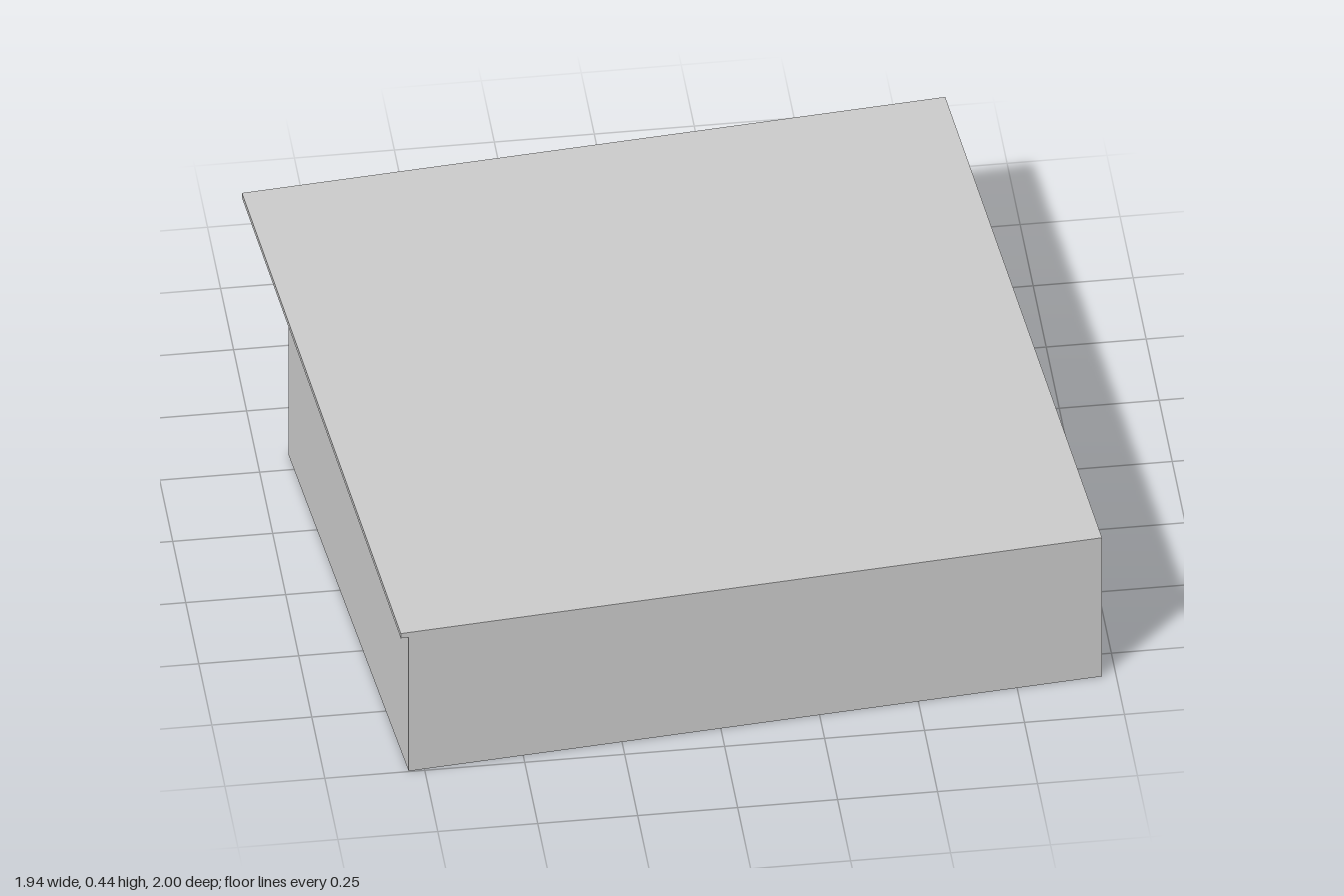
import * as THREE from 'three';

const ROOF_TOP = 0.435, ROOF_BOTTOM = 0.42;

// Plan corners as [x, z]
const ROOF = [[-0.97, -0.82], [0.81, -0.98], [0.965, 0.84], [-0.81, 1.0]];
const WALLS = [
  [0.965, 0.84], [0.805, -0.95],                    // right side
  [-0.59, -0.83], [-0.555, -0.345], [-0.92, -0.31], // back, with recessed corner
  [-0.79, 0.998],                                   // front
];

// Flat slab from a plan outline
function slab(plan, bottom, top) {
  const shape = new THREE.Shape(plan.map(([x, z]) => new THREE.Vector2(x, -z)));
  const geo = new THREE.ExtrudeGeometry(shape, { depth: top - bottom, bevelEnabled: false });
  return geo.rotateX(-Math.PI / 2).translate(0, bottom, 0);
}

// Thin vertical wall between two plan points
function wallPanel([x0, z0], [x1, z1], height) {
  const geo = new THREE.PlaneGeometry(Math.hypot(x1 - x0, z1 - z0), height);
  geo.rotateY(Math.atan2(-(z1 - z0), x1 - x0));
  return geo.translate((x0 + x1) / 2, height / 2, (z0 + z1) / 2);
}

export function createModel() {
  const model = new THREE.Group();
  model.name = 'flatRoofBuilding';
  const solid = new THREE.MeshStandardMaterial({ color: 0xcccccc });
  const thin = new THREE.MeshStandardMaterial({ color: 0xcccccc, side: THREE.DoubleSide });
  const add = (parent, name, geo, mat) => {
    const mesh = new THREE.Mesh(geo, mat);
    mesh.name = name;
    parent.add(mesh);
  };

  // Overhanging flat roof
  add(model, 'roof', slab(ROOF, ROOF_BOTTOM, ROOF_TOP), solid);

  // Walls, open underneath
  const walls = new THREE.Group();
  walls.name = 'walls';
  WALLS.forEach((p, i) => {
    // Each panel runs from the next corner back, so it faces outward
    const q = WALLS[(i + 1) % WALLS.length];
    add(walls, `wall${i + 1}`, wallPanel(p, q, ROOF_BOTTOM), thin);
  });
  model.add(walls);

  // Small round fixture by the back wall
  const fixture = new THREE.CylinderGeometry(0.024, 0.024, 0.047, 24);
  add(model, 'backFixture', fixture.translate(0.37, 0.142, -0.976), solid);

  return model;
}
